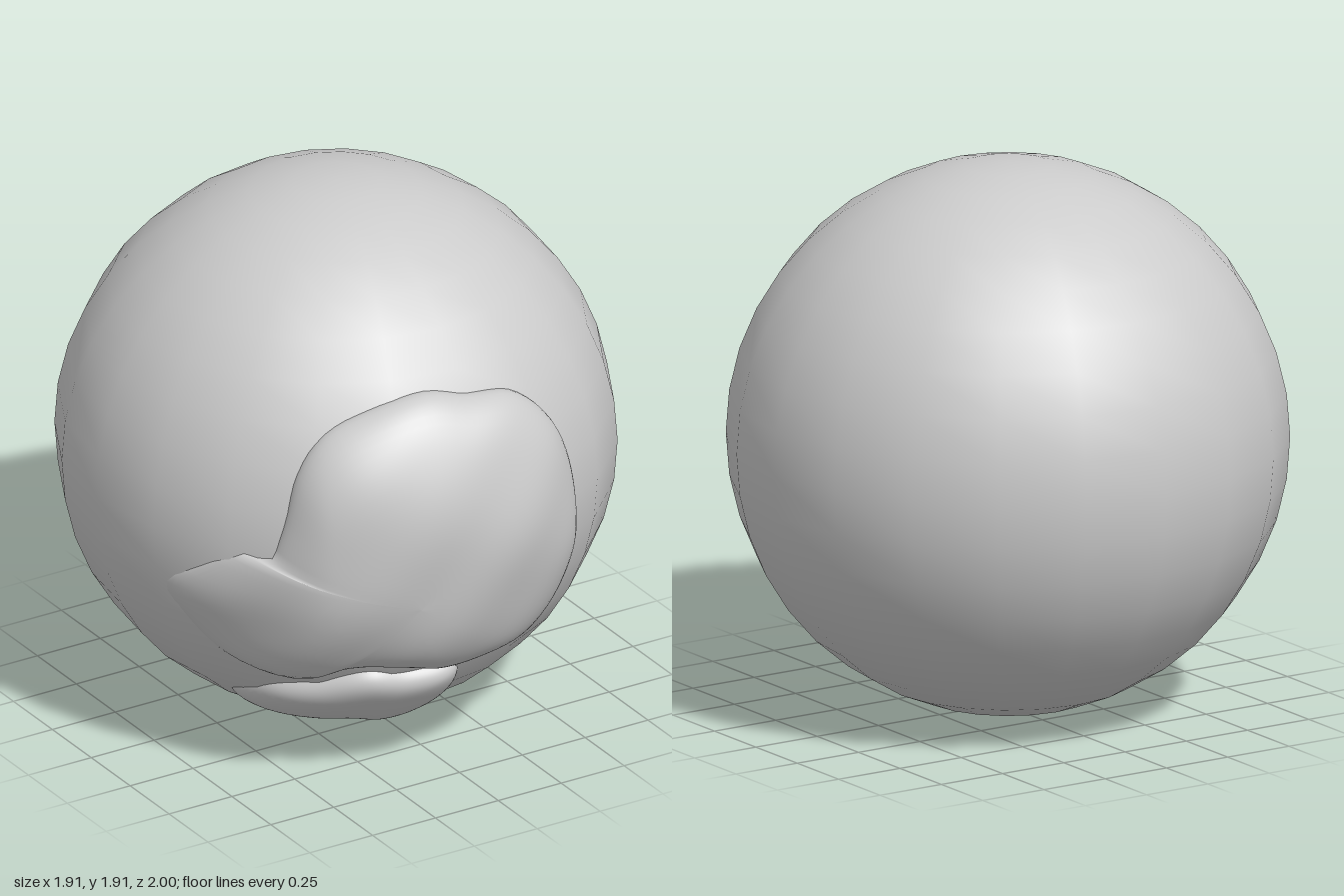
import * as THREE from 'three';

const R = 0.955;
const CENTER = new THREE.Vector3(0, R, -0.043);
const material = new THREE.MeshStandardMaterial({ color: 0xcccccc });

// Closed outline through [x, y] points, running clockwise seen from the front
function smoothOutline(points, count) {
  const curve = new THREE.CatmullRomCurve3(
    points.map(([x, y]) => new THREE.Vector3(x, y, 0)), true, 'centripetal');
  return curve.getSpacedPoints(count).slice(0, count);
}

// Raised patch hugging the front of the ball: rings shrink from the outline to
// the middle and are lifted off the ball by a rounded thickness profile
function patch(name, points, middle, thickness) {
  const count = 96, rings = 20;
  const outline = smoothOutline(points, count);
  const positions = [], index = [];
  const dir = new THREE.Vector3();
  for (let r = 0; r <= rings; r++) {
    const s = Math.sin((r / rings) * Math.PI / 2);
    for (let i = 0; i < count; i++) {
      const x = THREE.MathUtils.lerp(middle[0], outline[i].x, s);
      const y = THREE.MathUtils.lerp(middle[1], outline[i].y, s);
      const dx = x * 0.98, dy = (y - R) * 0.98;
      dir.set(dx, dy, Math.sqrt(Math.max(0.001, R * R - dx * dx - dy * dy))).normalize();
      const lift = -0.025 + (thickness(x, y) + 0.025) * Math.sqrt(Math.max(0, 1 - s ** 5));
      dir.multiplyScalar(R + lift).add(CENTER);
      positions.push(dir.x, dir.y, dir.z);
      if (r < rings) {
        const a = r * count + i, b = r * count + (i + 1) % count;
        index.push(a, b + count, a + count);
        if (r > 0) index.push(a, b, b + count);
      }
    }
  }
  const geometry = new THREE.BufferGeometry();
  geometry.setAttribute('position', new THREE.Float32BufferAttribute(positions, 3));
  geometry.setIndex(index);
  geometry.computeVertexNormals();
  const mesh = new THREE.Mesh(geometry, material.clone());
  mesh.material.side = THREE.DoubleSide;
  mesh.name = name;
  return mesh;
}

// Gentle hand-moulded unevenness
const bumps = (x, y) =>
  0.006 * Math.sin(9 * x + 4 * y) * Math.cos(10 * y - 3 * x) + 0.003 * Math.sin(17 * x - 13 * y);

export function createModel() {
  const group = new THREE.Group();
  group.name = 'ballWithPatches';

  // Ball
  const ball = new THREE.Mesh(new THREE.SphereGeometry(R, 20, 20), material);
  ball.name = 'ball';
  ball.position.copy(CENTER);
  group.add(ball);

  // Large patch with a thinner lobe on its right side
  group.add(patch('largePatch', [
    [-0.14, 1.49], [0, 1.46], [0.2, 1.42], [0.33, 1.3], [0.4, 1.15], [0.43, 0.95],
    [0.43, 0.78], [0.37, 0.58], [0.27, 0.47], [0.1, 0.43], [-0.08, 0.41], [-0.22, 0.45],
    [-0.38, 0.47], [-0.47, 0.45], [-0.55, 0.4], [-0.72, 0.46], [-0.84, 0.6], [-0.91, 0.74],
    [-0.86, 0.84], [-0.77, 0.94], [-0.7, 0.92], [-0.67, 1.01], [-0.6, 1.25], [-0.5, 1.38],
    [-0.35, 1.45],
  ], [-0.25, 0.77], (x, y) => {
    const body = 0.088 + 0.04 * (y - 0.95);
    const lobe = THREE.MathUtils.smoothstep(-x, 0.52, 0.78);
    return THREE.MathUtils.lerp(body, 0.032, lobe) + bumps(x, y);
  }));

  // Small patch below
  group.add(patch('smallPatch', [
    [-0.59, 0.22], [-0.58, 0.31], [-0.45, 0.38], [-0.33, 0.42], [-0.2, 0.4], [0, 0.39],
    [0.03, 0.33], [0.02, 0.25], [-0.05, 0.17], [-0.14, 0.14], [-0.3, 0.18], [-0.45, 0.18],
  ], [-0.26, 0.28], (x, y) => 0.052 + 0.5 * bumps(x, y)));

  return group;
}
